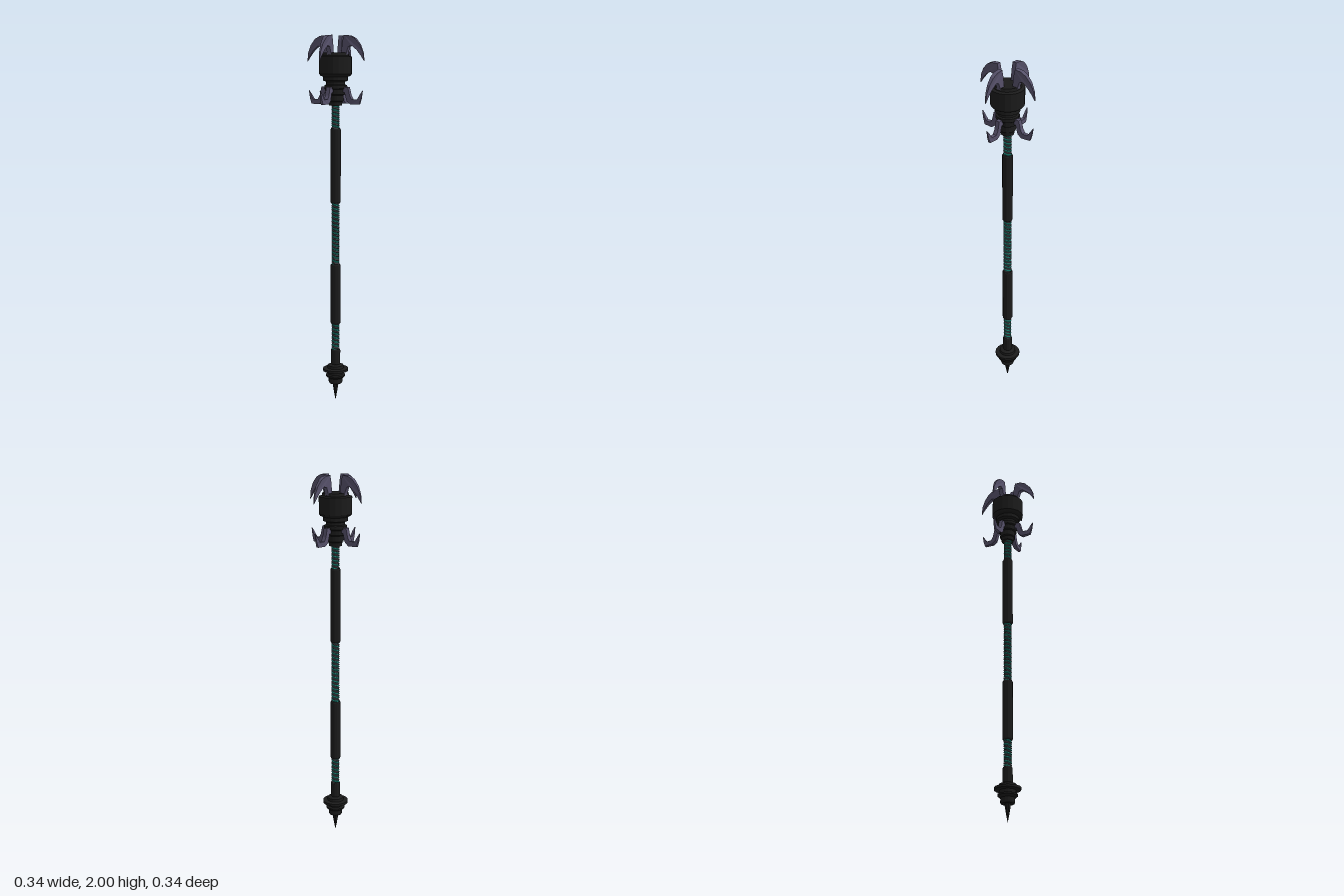
import * as THREE from 'three';

const mat = (color) => new THREE.MeshStandardMaterial({ color, flatShading: true });
const BLACK = mat(0x1b1b1b);
const GREY = mat(0x4a474d);
const TEAL = mat(0x1c8a7c);
const CLAW = mat(0x56516a);

const v2 = (pts) => pts.map(([x, y]) => new THREE.Vector2(x, y));

// Turned part from [radius, y] pairs, listed bottom to top
function turned(name, pts, sides, material = BLACK) {
  const mesh = new THREE.Mesh(new THREE.LatheGeometry(v2(pts), sides), material);
  mesh.name = name;
  return mesh;
}

// Wire wound around the shaft
function coil(name, y0, y1, phase, material) {
  const turns = Math.round((y1 - y0) / 0.022);
  const pts = [];
  for (let i = 0; i <= turns * 10; i++) {
    const a = (i / 10) * Math.PI * 2 + phase;
    pts.push(new THREE.Vector3(0.0175 * Math.cos(a), y0 + ((y1 - y0) * i) / (turns * 10), 0.0175 * Math.sin(a)));
  }
  const curve = new THREE.CatmullRomCurve3(pts);
  const mesh = new THREE.Mesh(new THREE.TubeGeometry(curve, turns * 12, 0.005, 5), material);
  mesh.name = name;
  return mesh;
}

// Four flat claws around the axis, thinning from radius r0 towards the tip at r1
function clawRing(name, outline, half, r0, r1) {
  const geo = new THREE.ExtrudeGeometry(new THREE.Shape(v2(outline)), { depth: 2, bevelEnabled: false });
  geo.translate(0, 0, -1);
  const p = geo.attributes.position;
  for (let i = 0; i < p.count; i++) {
    const t = THREE.MathUtils.clamp((p.getX(i) - r0) / (r1 - r0), 0, 1);
    p.setZ(i, p.getZ(i) * THREE.MathUtils.lerp(half, 0.003, t * t));
  }
  geo.computeVertexNormals();
  const ring = new THREE.Group();
  ring.name = name;
  for (let i = 0; i < 4; i++) {
    const claw = new THREE.Mesh(geo, CLAW);
    claw.name = name + 'Claw';
    claw.rotation.y = (i * Math.PI) / 2;
    ring.add(claw);
  }
  return ring;
}

export function createModel() {
  const g = new THREE.Group();

  // Bottom spike and stepped pommel
  g.add(turned('spike', [[0, 0], [0.008, 0.04], [0.018, 0.1], [0, 0.1]], 8));
  g.add(turned('pommel', [
    [0, 0.097], [0.034, 0.097], [0.038, 0.105], [0.038, 0.127], [0.044, 0.13], [0.053, 0.138],
    [0.053, 0.146], [0.042, 0.15], [0.042, 0.167], [0.07, 0.169], [0.07, 0.182], [0.046, 0.185],
    [0.044, 0.2], [0.03, 0.206], [0, 0.206],
  ], 18));
  g.add(turned('collar', [[0.022, 0.2], [0.026, 0.21], [0.026, 0.285], [0.022, 0.292], [0, 0.292]], 12));

  // Core with coils showing between the grips
  const core = new THREE.Mesh(new THREE.CylinderGeometry(0.016, 0.016, 1.45, 12), BLACK);
  core.name = 'shaftCore';
  core.position.y = 0.925;
  g.add(core);
  for (const [y0, y1] of [[0.285, 0.445], [0.76, 1.115], [1.495, 1.645]]) {
    g.add(coil('glowCoil', y0, y1, 0, TEAL), coil('greyCoil', y0, y1, Math.PI, GREY));
  }

  // Grips with chamfered ends
  for (const [y0, y1] of [[0.435, 0.77], [1.105, 1.51]]) {
    g.add(turned('grip', [
      [0, y0], [0.024, y0], [0.028, y0 + 0.008], [0.028, y1 - 0.008], [0.024, y1], [0, y1],
    ], 12));
  }

  // Stepped head
  g.add(turned('head', [
    [0, 1.63], [0.034, 1.63], [0.037, 1.65], [0.043, 1.655], [0.043, 1.685], [0.051, 1.69],
    [0.053, 1.715], [0.06, 1.72], [0.06, 1.738], [0.05, 1.742], [0.05, 1.756], [0.066, 1.762],
    [0.066, 1.782], [0.08, 1.788], [0.088, 1.798], [0.088, 1.888], [0.072, 1.893], [0.068, 1.908], [0, 1.908],
  ], 18));

  // Large claws curving out and down from the top
  g.add(clawRing('upper', [
    [0.036, 1.88], [0.066, 1.88], [0.072, 1.91], [0.083, 1.94], [0.102, 1.944], [0.13, 1.922],
    [0.154, 1.892], [0.172, 1.863], [0.166, 1.91], [0.148, 1.95], [0.12, 1.982], [0.09, 1.997],
    [0.055, 2.0], [0.048, 1.97],
  ], 0.0115, 0.09, 0.172));

  // Small hooks curving down and up again
  g.add(clawRing('lower', [
    [0.035, 1.70], [0.06, 1.70], [0.073, 1.655], [0.095, 1.638], [0.145, 1.638], [0.156, 1.67],
    [0.163, 1.71], [0.148, 1.688], [0.133, 1.664], [0.103, 1.664], [0.091, 1.685], [0.08, 1.73], [0.035, 1.73],
  ], 0.0115, 0.09, 0.163));

  return g;
}
